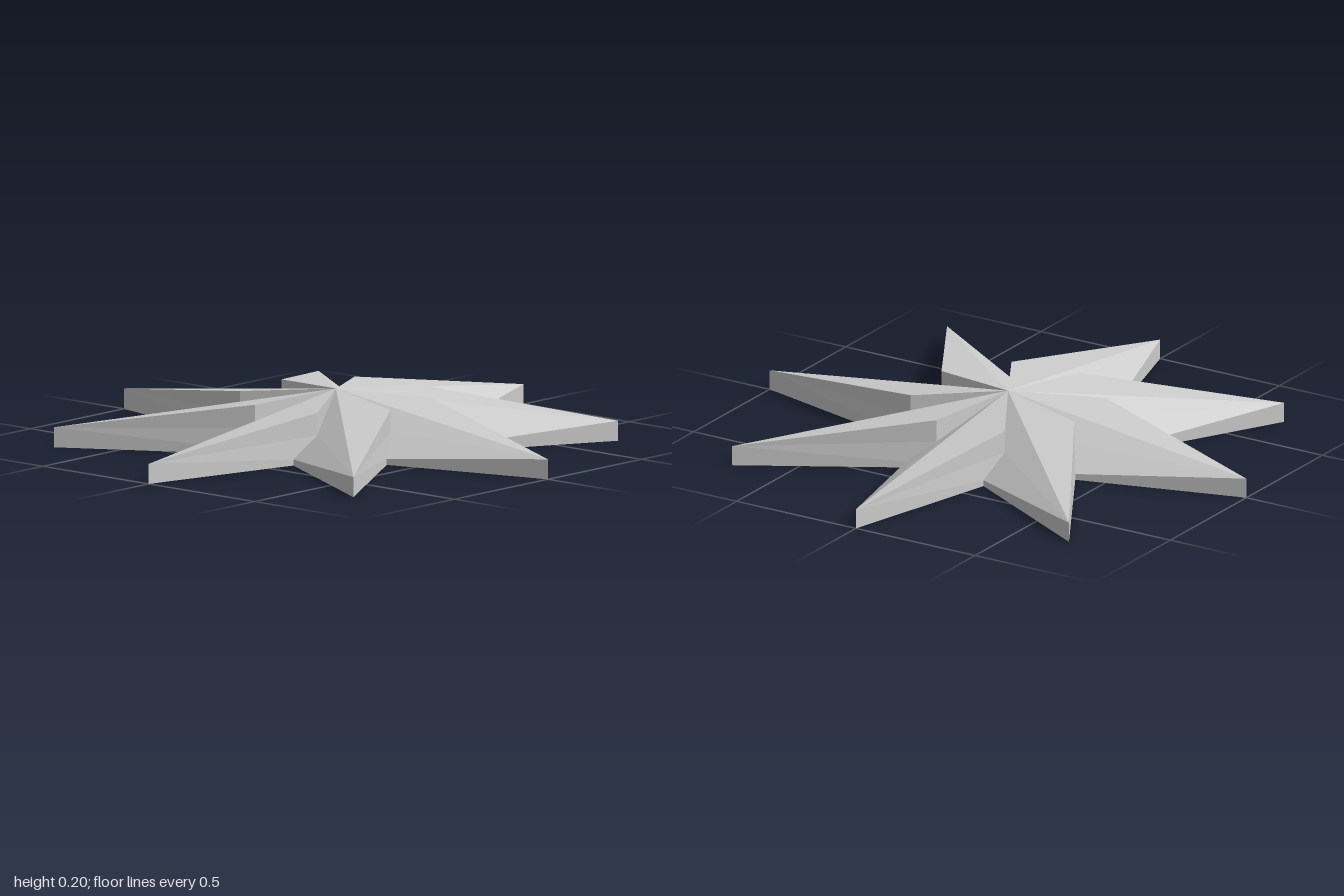
import * as THREE from 'three';

const ARMS = 8, STEP = Math.PI * 2 / ARMS;

// point from radius, angle in degrees (from +z towards +x) and height
const polar = (r, deg, y) => {
  const a = THREE.MathUtils.degToRad(deg);
  return [r * Math.sin(a), y, r * Math.cos(a)];
};

// one pinwheel arm: high right flap, low left flap tucked under its neighbour
function armGeometry() {
  const centre = [0, 0.2, 0], centreBase = [0, 0, 0];
  const tip = [0, 0.072, 1], tipBase = [0, 0, 1];
  const raised = polar(0.345, 30.5, 0.178);
  // where the left flap meets the neighbour's wall, and the same points one arm on
  const [low, lowBase, under] = [[0.432, -24, 0.022], [0.432, -24, 0], [0.345, -14.5, 0.097]].map(p => polar(...p));
  const [nextLow, nextLowBase, nextUnder] = [[0.432, 21, 0.022], [0.432, 21, 0], [0.345, 30.5, 0.097]].map(p => polar(...p));

  const faces = [
    [centre, tip, raised],                                        // right slope
    [tip, centre, under, low],                                    // left slope
    [tip, low, lowBase, tipBase],                                 // low wall
    [tip, tipBase, nextLowBase, nextLow, nextUnder, raised],      // high wall
    [centre, raised, nextUnder],                                  // inner step
    [centreBase, nextLowBase, tipBase, lowBase],                  // underside
  ];
  const positions = [];
  for (const f of faces)
    for (let i = 1; i < f.length - 1; i++) positions.push(...f[0], ...f[i], ...f[i + 1]);
  const geometry = new THREE.BufferGeometry();
  geometry.setAttribute('position', new THREE.Float32BufferAttribute(positions, 3));
  geometry.computeVertexNormals();
  return geometry;
}

export function createModel() {
  const star = new THREE.Group();
  star.name = 'pinwheelStar';
  const material = new THREE.MeshStandardMaterial({ color: 0xcccccc, flatShading: true });
  const geometry = armGeometry();
  for (let i = 0; i < ARMS; i++) {
    const arm = new THREE.Mesh(geometry, material);
    arm.name = `starArm${i + 1}`;
    arm.rotation.y = i * STEP;
    star.add(arm);
  }
  return star;
}
